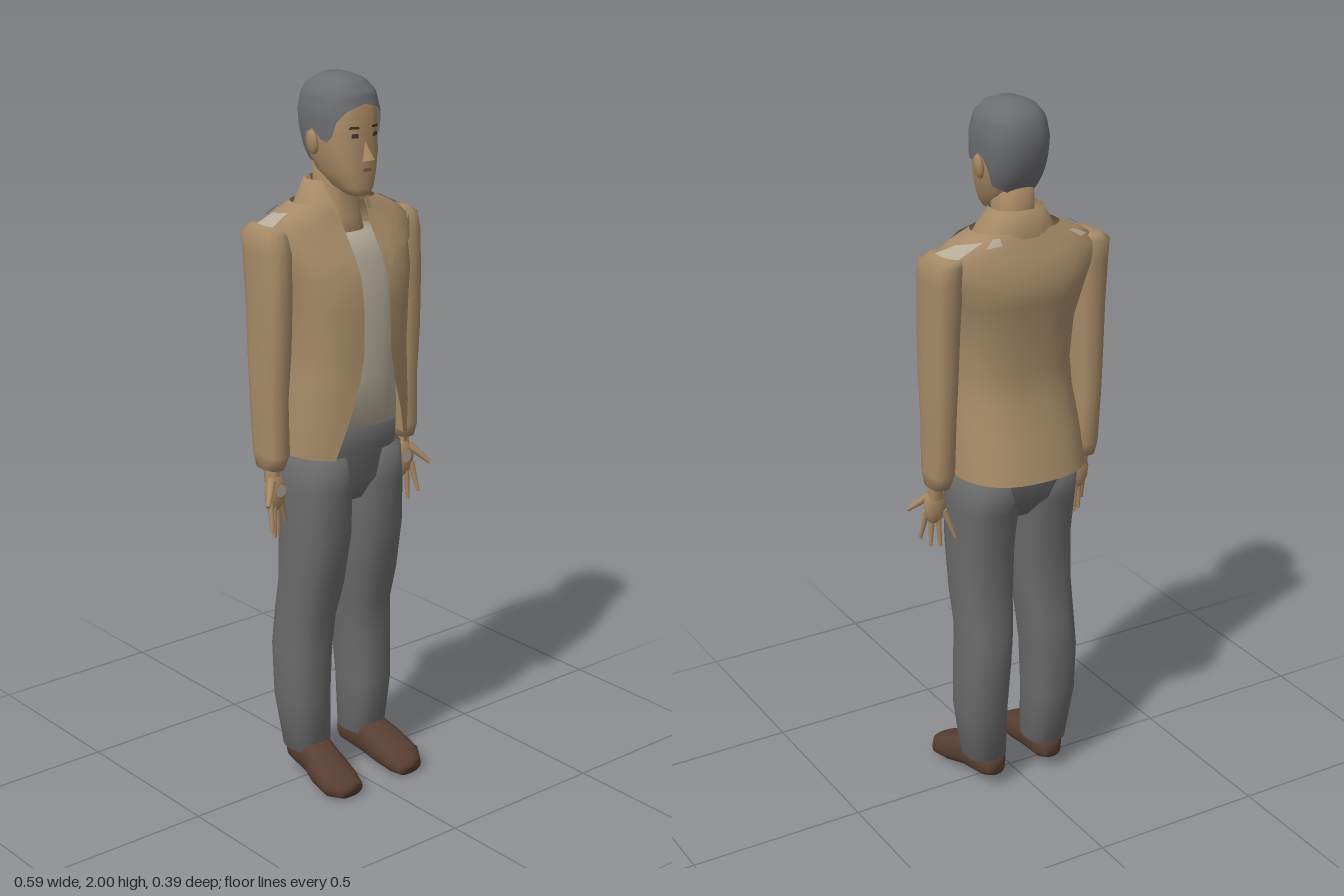
import * as THREE from 'three';

const paint = (name, color) => {
  const m = new THREE.MeshStandardMaterial({ color, side: THREE.DoubleSide });
  m.name = name;
  return m;
};

// Skin of quads over rows of points; the rows run along the part.
function skin(rows, closed) {
  const n = rows[0].length, pos = [], idx = [];
  rows.forEach(r => r.forEach(p => pos.push(...p)));
  for (let i = 0; i < rows.length - 1; i++) {
    for (let j = 0; j < (closed ? n : n - 1); j++) {
      const k = (j + 1) % n, a = i * n + j, b = i * n + k;
      idx.push(a, b, b + n, a, b + n, a + n);
    }
  }
  const g = new THREE.BufferGeometry();
  g.setAttribute('position', new THREE.Float32BufferAttribute(pos, 3));
  g.setIndex(idx);
  g.computeVertexNormals();
  return g;
}

// Level: [y, halfWidth, zFront, zBack, xCentre, halfOpening]; angle 0 faces front.
const POWER = 2.5;
const bend = v => Math.sign(v) * Math.abs(v) ** (2 / POWER);
function point([y, w, zf, zb, xc = 0], t, off = 0) {
  return [xc + (w + off) * bend(Math.sin(t)), y + off * 0.5,
    (zf + zb) / 2 + ((zf - zb) / 2 + off) * bend(Math.cos(t))];
}
function levelAt(levels, y) {
  let i = 0;
  while (i < levels.length - 2 && y > levels[i + 1][0]) i++;
  const a = levels[i], b = levels[i + 1];
  const f = THREE.MathUtils.clamp((y - a[0]) / (b[0] - a[0]), 0, 1);
  return a.map((v, k) => v + (b[k] - v) * f);
}
function loft(levels, seg = 20) {
  const rows = levels.map(l => Array.from({ length: seg }, (_, j) => point(l, j / seg * Math.PI * 2)));
  const cap = ([y, , zf, zb, xc = 0]) => Array.from({ length: seg }, () => [xc, y, (zf + zb) / 2]);
  return skin([cap(levels[0]), ...rows, cap(levels.at(-1))], true);
}
// Loft left open at the front.
function openLoft(levels, seg = 32) {
  return skin(levels.map(l => {
    const a = Math.asin(Math.min(1, (l[5] / l[1]) ** (POWER / 2)));
    return Array.from({ length: seg + 1 }, (_, j) => point(l, a + (Math.PI * 2 - 2 * a) * j / seg));
  }), false);
}
// Thin plate lying on a loft; corners [angle, y]: lower start, lower end, upper end, upper start.
function patch(levels, [a, b, c, d], off = 0.005, n = 6) {
  const mix = THREE.MathUtils.lerp, rows = [];
  for (let i = 0; i <= n; i++) {
    rows.push(Array.from({ length: n + 1 }, (_, j) => {
      const u = j / n, v = i / n;
      const t = mix(mix(a[0], b[0], u), mix(d[0], c[0], u), v);
      const y = mix(mix(a[1], b[1], u), mix(d[1], c[1], u), v);
      return point(levelAt(levels, y), t, off);
    }));
  }
  return skin(rows, false);
}

const JACKET = [
  [0.99, 0.19, 0.165, -0.195, 0, 0.122], [1.1, 0.184, 0.17, -0.165, 0, 0.09],
  [1.2, 0.175, 0.168, -0.132, 0, 0.06], [1.28, 0.17, 0.168, -0.125, 0, 0.046],
  [1.4, 0.18, 0.165, -0.132, 0, 0.045], [1.48, 0.2, 0.153, -0.147, 0, 0.045],
  [1.54, 0.215, 0.122, -0.155, 0, 0.045], [1.605, 0.24, 0.078, -0.128, 0, 0.045],
  [1.64, 0.18, 0.062, -0.11, 0, 0.05], [1.665, 0.125, 0.05, -0.1, 0, 0.05]];
const COLLAR = [
  [1.64, 0.115, 0.068, -0.108, 0, 0.05], [1.67, 0.1, 0.055, -0.104, 0, 0.055],
  [1.72, 0.072, 0.03, -0.09, 0, 0.06], [1.69, 0.062, 0.04, -0.08, 0, 0.052]];
const SHIRT = [
  [1.065, 0.15, 0.142, -0.12], [1.2, 0.14, 0.143, -0.1], [1.4, 0.155, 0.138, -0.1],
  [1.52, 0.155, 0.108, -0.1], [1.585, 0.11, 0.08, -0.06]];
const HIPS = [
  [0.84, 0.09, 0.08, -0.07], [0.9, 0.165, 0.11, -0.12], [1.0, 0.175, 0.118, -0.155],
  [1.09, 0.165, 0.128, -0.13]];
const LEG = [
  [0.09, 0.06, 0.05, -0.085, 0.1], [0.25, 0.07, 0.058, -0.105, 0.112],
  [0.4, 0.073, 0.06, -0.118, 0.108], [0.5, 0.075, 0.065, -0.112, 0.1],
  [0.6, 0.081, 0.092, -0.095, 0.096], [0.75, 0.086, 0.117, -0.095, 0.092],
  [0.88, 0.088, 0.12, -0.12, 0.091], [0.98, 0.085, 0.115, -0.14, 0.09]];
const ARM = [
  [0.96, 0.028, 0.04, -0.05, 0.232], [1.0, 0.036, 0.055, -0.065, 0.228],
  [1.15, 0.038, 0.05, -0.075, 0.229], [1.28, 0.042, 0.06, -0.082, 0.227],
  [1.42, 0.045, 0.062, -0.088, 0.225], [1.55, 0.047, 0.06, -0.1, 0.223],
  [1.6, 0.047, 0.045, -0.105, 0.223], [1.618, 0.035, 0.025, -0.09, 0.21]];
const NECK = [
  [1.54, 0.075, 0.07, -0.06], [1.62, 0.06, 0.055, -0.07],
  [1.7, 0.052, 0.045, -0.075], [1.78, 0.052, 0.05, -0.07]];
const HEAD = [
  [1.69, 0.028, 0.112, 0.05], [1.71, 0.046, 0.118, 0.0], [1.75, 0.066, 0.116, -0.05],
  [1.8, 0.079, 0.115, -0.08], [1.85, 0.084, 0.11, -0.096], [1.9, 0.085, 0.108, -0.102],
  [1.95, 0.076, 0.094, -0.092], [1.98, 0.052, 0.066, -0.068], [1.994, 0.02, 0.03, -0.035]];
// Shoe station: [z, xCentre, halfWidth, yBottom, yTop]
const SHOE = [
  [-0.085, 0.095, 0.028, 0.04, 0.09], [-0.06, 0.095, 0.045, 0.03, 0.115],
  [0.03, 0.102, 0.052, 0.018, 0.13], [0.09, 0.112, 0.061, 0.008, 0.1],
  [0.15, 0.117, 0.06, 0, 0.073], [0.19, 0.11, 0.042, 0.005, 0.05]];

function shoeGeometry(s) {
  const rows = SHOE.map(([z, xc, w, y0, y1]) => Array.from({ length: 16 }, (_, j) => {
    const t = j / 16 * Math.PI * 2;
    return [s * xc + w * bend(Math.cos(t)), (y0 + y1) / 2 + (y1 - y0) / 2 * bend(Math.sin(t)), z];
  }));
  const cap = ([z, xc, , y0, y1], dz) => Array.from({ length: 16 }, () => [s * xc, (y0 + y1) / 2, z + dz]);
  return skin([cap(SHOE[0], 0), ...rows, cap(SHOE.at(-1), 0.006)], true);
}

// Hair cap whose lower edge follows the hairline, keyed by angle from the front.
const HAIRLINE = [[0, 1.925], [0.5, 1.91], [0.85, 1.885], [1.1, 1.83], [1.35, 1.825], [1.55, 1.86],
  [1.85, 1.84], [2.1, 1.775], [Math.PI, 1.745]];
function hairGeometry() {
  const rows = [];
  for (let i = 0; i <= 12; i++) {
    rows.push(Array.from({ length: 36 }, (_, j) => {
      const t = j / 36 * Math.PI * 2, side = Math.min(t, Math.PI * 2 - t);
      const low = levelAt(HAIRLINE, side)[1], y = low + (1.994 - low) * i / 12;
      return point(levelAt(HEAD, y), t, 0.008);
    }));
  }
  rows.push(Array.from({ length: 36 }, () => [0, 2, 0]));
  return skin(rows, true);
}

export function createModel() {
  const model = new THREE.Group();
  model.name = 'standingPerson';
  const tan = paint('jacketTan', 0xa68a67), cream = paint('shirtCream', 0xb4aa98);
  const grey = paint('trouserGrey', 0x6a6a6a), hair = paint('hairGrey', 0x6c6d70);
  const flesh = paint('skin', 0xaa8a66), brown = paint('shoeBrown', 0x593f33);
  const dark = paint('eyeDark', 0x3d332c), lip = paint('lipBrown', 0x86604b);
  const add = (name, geo, mat, parent = model) => {
    const m = new THREE.Mesh(geo, mat);
    m.name = name;
    parent.add(m);
    return m;
  };
  const limb = (name, p, q, r0, r1, mat, parent) => {
    const a = new THREE.Vector3(...p), b = new THREE.Vector3(...q), d = b.clone().sub(a);
    const m = add(name, new THREE.CylinderGeometry(r1, r0, d.length(), 7), mat, parent);
    m.position.copy(a).lerp(b, 0.5);
    m.quaternion.setFromUnitVectors(new THREE.Vector3(0, 1, 0), d.normalize());
  };

  // Clothes on the body
  add('jacket', openLoft(JACKET), tan);
  add('collar', openLoft(COLLAR), tan);
  add('shirt', loft(SHIRT, 28), cream);
  add('hips', loft(HIPS, 24), grey);
  add('pocketFlap', patch(JACKET, [[0.5, 1.53], [0.85, 1.545], [0.95, 1.6], [0.42, 1.56]], 0.008), tan);

  // Pale patches on the shoulders
  [[[1.45, 1.612], [2.1, 1.612], [2.3, 1.65], [1.7, 1.64]],
    [[2.5, 1.635], [2.75, 1.64], [2.6, 1.657], [2.45, 1.655]],
    [[-1.85, 1.615], [-1.35, 1.615], [-1.35, 1.645], [-1.75, 1.64]],
    [[-2.4, 1.625], [-2.15, 1.625], [-2.3, 1.645], [-2.45, 1.645]]]
    .forEach(c => add('shoulderPatch', patch(JACKET, c, 0.007), cream));

  // Head
  add('neck', loft(NECK), flesh);
  add('head', loft(HEAD, 28), flesh);
  add('hair', hairGeometry(), hair);
  add('mouth', patch(HEAD, [[-0.13, 1.752], [0.13, 1.752], [0.1, 1.761], [-0.1, 1.761]], 0.004), lip);
  const nose = add('nose', new THREE.ConeGeometry(0.017, 0.06, 6), flesh);
  nose.position.set(0, 1.81, 0.116);
  nose.rotation.x = -0.3;
  nose.scale.z = 1.3;

  for (const s of [1, -1]) {
    const side = s > 0 ? 'left' : 'right';
    const flip = levels => levels.map(l => l.map((v, k) => (k === 4 ? s * v : v)));
    // Mirrors a plate's corners, keeping its winding
    const plate = ([a, b, c, d]) => (s > 0 ? [a, b, c, d] : [b, a, d, c].map(([t, y]) => [-t, y]));

    add(side + 'Eye', patch(HEAD, plate([[0.2, 1.841], [0.44, 1.842], [0.4, 1.852], [0.22, 1.852]]), 0.004), dark);
    add(side + 'Brow', patch(HEAD, plate([[0.16, 1.864], [0.5, 1.864], [0.46, 1.871], [0.18, 1.87]]), 0.004), dark);
    const ear = add(side + 'Ear', new THREE.SphereGeometry(1, 10, 8), flesh);
    ear.scale.set(0.011, 0.033, 0.02);
    ear.position.set(s * 0.09, 1.825, 0.005);
    ear.rotation.z = -s * 0.15;

    add(side + 'Lapel', patch(JACKET, plate([[0.17, 1.5], [0.24, 1.5], [0.72, 1.645], [0.3, 1.655]]), 0.007), tan);
    add(side + 'Sleeve', loft(flip(ARM), 16), tan);
    add(side + 'TrouserLeg', loft(flip(LEG), 20), grey);
    add(side + 'Shoe', shoeGeometry(s), brown);

    // Hand with spread fingers
    const hand = new THREE.Group();
    hand.name = side + 'Hand';
    model.add(hand);
    limb('wrist', [s * 0.232, 0.98, -0.005], [s * 0.232, 0.92, 0.005], 0.021, 0.022, flesh, hand);
    const palm = add('palm', new THREE.SphereGeometry(1, 12, 8), flesh, hand);
    palm.scale.set(0.034, 0.055, 0.019);
    palm.position.set(s * 0.23, 0.893, 0.012);
    const tips = [[0.262, 0.79, 0.04], [0.24, 0.767, 0.022], [0.217, 0.767, 0.008], [0.178, 0.79, -0.008]];
    tips.forEach(([x, y, z], i) => limb('finger', [s * (0.252 - i * 0.015), 0.875, 0.02 - i * 0.005],
      [s * x, y, z], 0.01, 0.005, flesh, hand));
    limb('thumb', [s * 0.245, 0.925, 0.015], [s * 0.29, 0.875, 0.058], 0.013, 0.006, flesh, hand);
    const mark = add('handPatch', new THREE.CircleGeometry(0.018, 8), cream, hand);
    mark.position.set(s * 0.225, 0.9, 0.0325);
  }
  return model;
}
